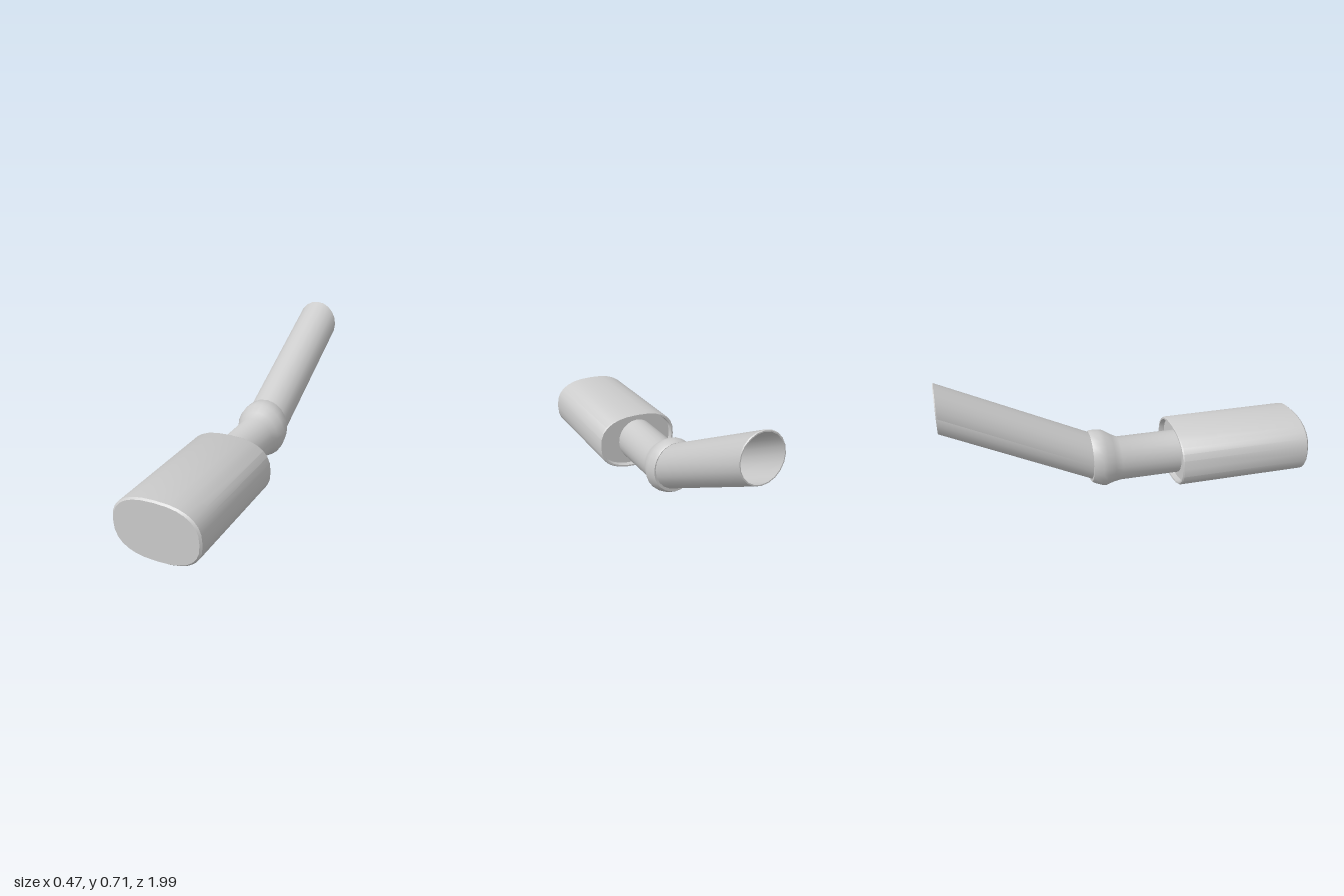
import * as THREE from 'three';
import { toCreasedNormals } from 'three/addons/utils/BufferGeometryUtils.js';

const material = new THREE.MeshStandardMaterial({ color: 0xcccccc });

// Skin through upright rings ordered from front to back: [z, centreY, radiusX, radiusY]
function loft(name, rings, { sides = 20, power = 2, x = 0 } = {}) {
  const points = [], index = [];
  const bend = (v) => Math.sign(v) * Math.abs(v) ** (2 / power);
  rings.forEach(([z, y, rx, ry], i) => {
    for (let k = 0; k < sides; k++) {
      const t = (k / sides) * Math.PI * 2;
      points.push(x + rx * bend(Math.cos(t)), y + ry * bend(Math.sin(t)), z);
      if (i === 0) continue;
      const a = (i - 1) * sides + k, b = (i - 1) * sides + (k + 1) % sides;
      const c = a + sides, d = b + sides;
      if (rings[i - 1][2] > 0) index.push(a, c, b);
      if (rx > 0) index.push(b, c, d);
    }
  });
  const geometry = new THREE.BufferGeometry();
  geometry.setAttribute('position', new THREE.Float32BufferAttribute(points, 3));
  geometry.setIndex(index);
  const mesh = new THREE.Mesh(toCreasedNormals(geometry, 0.6), material);
  mesh.name = name;
  return mesh;
}

export function createModel() {
  const group = new THREE.Group();
  group.name = 'exhaustMuffler';

  // Flattened oval can: closed front, thin rim around a recessed rear plate
  group.add(loft('mufflerBody', [
    [0.995, 0.168, 0, 0],
    [0.995, 0.168, 0.226, 0.155],
    [0.985, 0.168, 0.236, 0.163],
    [0.265, 0.166, 0.236, 0.163],
    [0.257, 0.166, 0.231, 0.159],
    [0.257, 0.166, 0.222, 0.15],
    [0.285, 0.166, 0.218, 0.146],
    [0.285, 0.166, 0, 0],
  ], { sides: 28, power: 2.5 }));

  // Straight neck swelling into a collar
  group.add(loft('neckAndCollar', [
    [0.3, 0.162, 0.113, 0.123],
    [-0.05, 0.162, 0.113, 0.123],
    [-0.09, 0.17, 0.125, 0.137],
    [-0.135, 0.178, 0.143, 0.158],
    [-0.16, 0.183, 0.143, 0.158],
    [-0.2, 0.192, 0.136, 0.15],
    [-0.212, 0.194, 0.129, 0.142],
    [-0.212, 0.194, 0, 0],
  ], { sides: 24, x: -0.006 }));

  // Rising tail pipe: outer wall, upright cut lip and hollow bore
  group.add(loft('tailPipe', [
    [-0.19, 0.191, 0.121, 0.133],
    [-0.992, 0.578, 0.121, 0.133],
    [-0.997, 0.578, 0.118, 0.13],
    [-0.997, 0.578, 0.113, 0.124],
    [-0.22, 0.203, 0.113, 0.124],
  ], { x: -0.006 }));

  return group;
}
